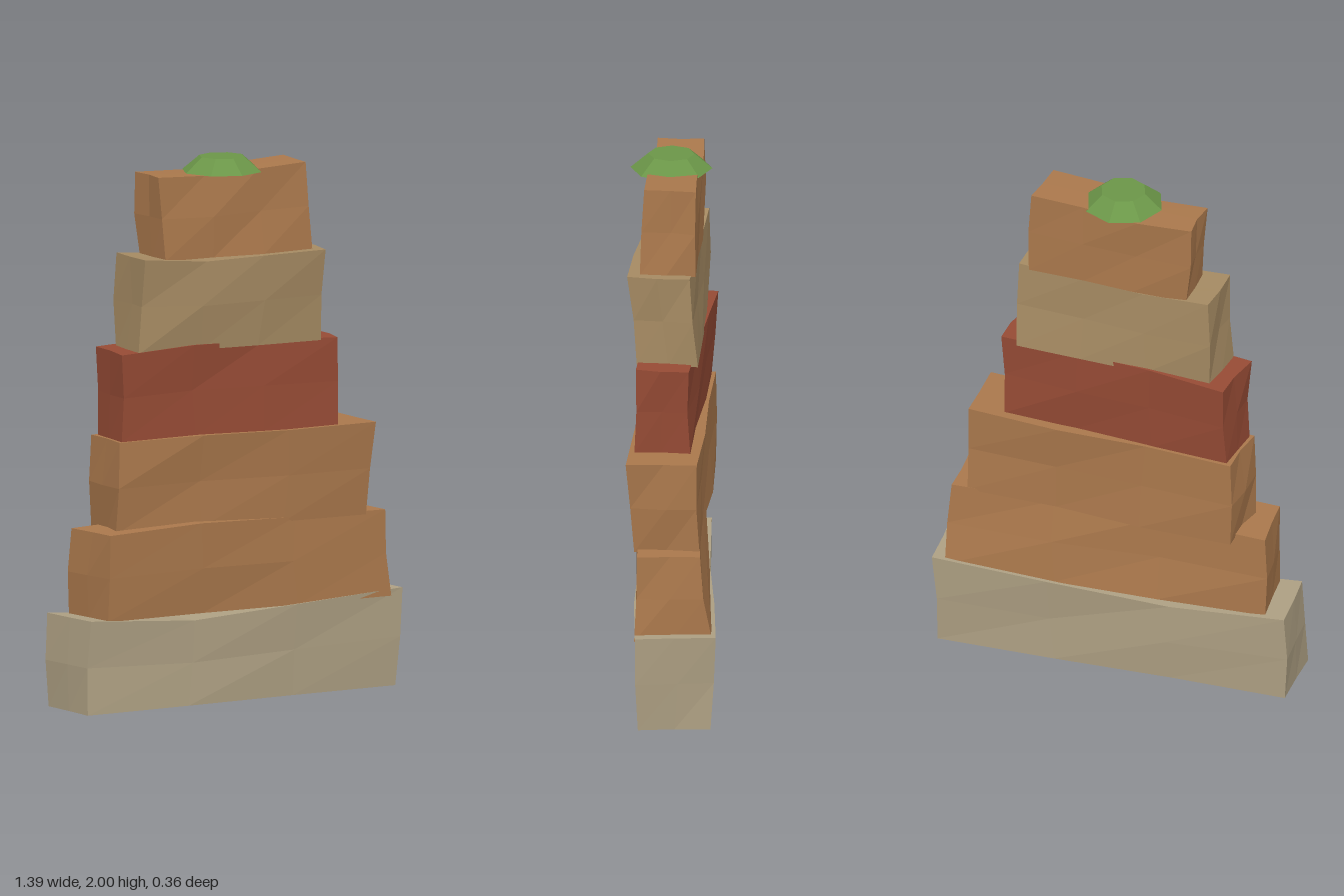
import * as THREE from 'three';

const BROWN = 0xaa784c, TAN = 0xaea083, SAND = 0xa68b63, RED = 0x964b35, GREEN = 0x6b9648;

// Each course: corners as [bottom x, bottom z, top x, top z], base height and top heights from left to right
const COURSES = [
  { name: 'baseStone', color: TAN, y: 0, top: [0.345, 0.312, 0.338, 0.362],
    lf: [-0.68, 0.18, -0.66, 0.17], lb: [-0.69, -0.09, -0.69, -0.1], rf: [0.66, 0.105, 0.685, 0.115], rb: [0.64, -0.16, 0.655, -0.18] },
  { name: 'secondStone', color: BROWN, y: 0.335, top: [0.655, 0.67, 0.658, 0.655],
    lf: [-0.58, 0.155, -0.575, 0.165], lb: [-0.61, -0.08, -0.605, -0.07], rf: [0.635, 0.12, 0.615, 0.11], rb: [0.61, -0.165, 0.6, -0.12] },
  { name: 'thirdStone', color: BROWN, y: 0.645, top: [0.985, 0.99, 0.985, 0.99],
    lf: [-0.51, 0.09, -0.5, 0.1], lb: [-0.49, -0.125, -0.49, -0.125], rf: [0.525, 0.125, 0.55, 0.155], rb: [0.54, -0.115, 0.54, -0.105] },
  { name: 'redStone', color: RED, y: 0.985, top: [1.308, 1.325, 1.32, 1.31],
    lf: [-0.485, 0.09, -0.49, 0.1], lb: [-0.47, -0.11, -0.465, -0.135], rf: [0.405, 0.13, 0.405, 0.125], rb: [0.41, -0.075, 0.425, -0.07] },
  { name: 'fifthStone', color: SAND, y: 1.305, top: [1.655, 1.633, 1.64, 1.645],
    lf: [-0.42, 0.1, -0.4, 0.115], lb: [-0.4, -0.1, -0.395, -0.105], rf: [0.335, 0.125, 0.335, 0.16], rb: [0.355, -0.1, 0.355, -0.07] },
  { name: 'topStone', color: BROWN, y: 1.64, top: [1.95, 1.942, 1.955, 1.965],
    lf: [-0.3, 0.09, -0.325, 0.08], lb: [-0.305, -0.09, -0.325, -0.09], rf: [0.305, 0.115, 0.285, 0.1], rb: [0.31, -0.09, 0.3, -0.09] },
];

const lerp = THREE.MathUtils.lerp;

// Repeatable unevenness in the range -1..1
function rough(a, b, c, seed) {
  const s = Math.sin(a * 12.99 + b * 78.23 + c * 37.72 + seed * 9.17) * 43758.5;
  return (s - Math.floor(s)) * 2 - 1;
}

// A rough-hewn block: a subdivided box stretched between its eight corners
function stone(course, seed) {
  const geo = new THREE.BoxGeometry(1, 1, 1, 3, 2, 2);
  const pos = geo.attributes.position;
  for (let i = 0; i < pos.count; i++) {
    const u = pos.getX(i) + 0.5, v = pos.getY(i) + 0.5, w = pos.getZ(i) + 0.5;
    const ui = Math.round(u * 3), vi = Math.round(v * 2), wi = Math.round(w * 2);
    const corner = (c, k) => lerp(c[k], c[k + 2], v);
    const mix = (k) => lerp(
      lerp(corner(course.lb, k), corner(course.rb, k), u),
      lerp(corner(course.lf, k), corner(course.rf, k), u), w);
    // Corners stay put; points between them are nudged
    const between = (ui % 3 !== 0 || vi === 1 || wi === 1) ? 0.011 : 0;
    const x = mix(0) + between * rough(ui, vi, wi, seed);
    const z = mix(1) + between * rough(wi, ui, vi, seed + 3);
    pos.setXYZ(i, x, lerp(course.y, course.top[ui], v), z);
  }
  geo.computeVertexNormals();
  const mesh = new THREE.Mesh(geo, new THREE.MeshStandardMaterial({ color: course.color, flatShading: true }));
  mesh.name = course.name;
  return mesh;
}

export function createModel() {
  const group = new THREE.Group();
  group.name = 'stoneStack';
  COURSES.forEach((course, i) => group.add(stone(course, i + 1)));

  // Small eight-sided tuft on the summit
  const tuft = new THREE.Mesh(
    new THREE.CylinderGeometry(0.085, 0.15, 0.055, 8),
    new THREE.MeshStandardMaterial({ color: GREEN, flatShading: true }));
  tuft.name = 'grassTuft';
  tuft.position.set(-0.02, 1.9725, 0.015);
  group.add(tuft);
  return group;
}
